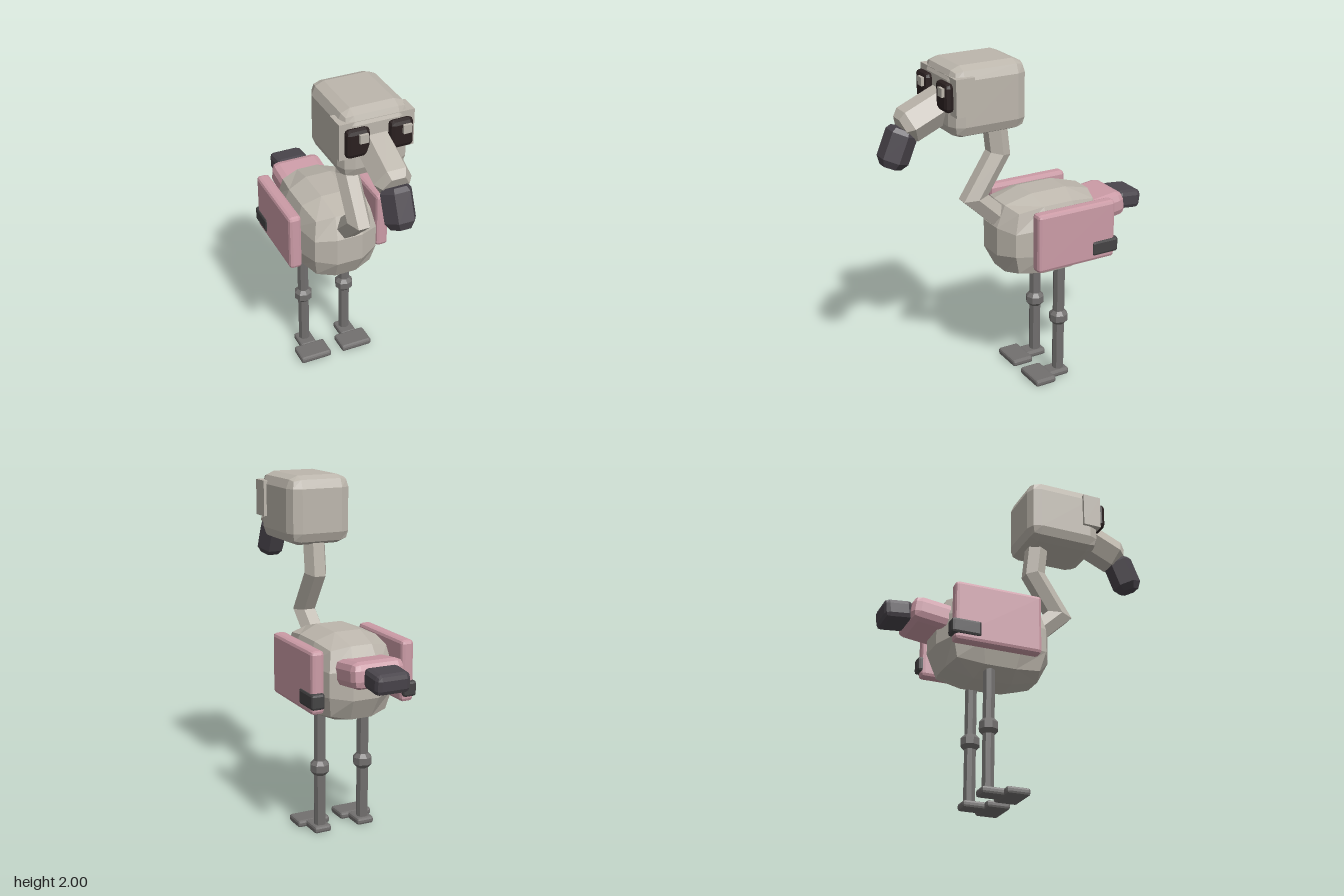
import * as THREE from 'three';
import { RoundedBoxGeometry } from 'three/addons/geometries/RoundedBoxGeometry.js';

const mat = (name, color) => new THREE.MeshStandardMaterial({ name, color, flatShading: true });

export function createModel() {
  const model = new THREE.Group();
  model.name = 'wadingBird';
  const plumage = mat('plumage grey', 0xbcb6ac);
  const pink = mat('dusty pink', 0xcb9ba6);
  const dark = mat('charcoal tip', 0x4a454c);
  const mark = mat('wing mark black', 0x444344);
  const legGrey = mat('leg grey', 0x72706f);
  const eyeBlack = mat('eye black', 0x2a2020);

  const add = (name, geometry, material, x = 0, y = 0, z = 0) => {
    const mesh = new THREE.Mesh(geometry, material);
    mesh.name = name;
    mesh.position.set(x, y, z);
    model.add(mesh);
    return mesh;
  };

  // Box with chamfered edges
  const chamfer = (name, material, [w, h, d], r, [x, y, z]) =>
    add(name, new RoundedBoxGeometry(w, h, d, 1, r), material, x, y, z);

  // Mitred six-sided tube through [y, z, radius] stations in the middle plane
  const hexTube = (name, material, stations) => {
    const pos = [], index = [], n = 6;
    const pts = stations.map(([y, z]) => new THREE.Vector2(y, z));
    const last = pts.length - 1;
    pts.forEach((p, i) => {
      const a = pts[Math.min(i + 1, last)].clone().sub(pts[Math.min(i, last - 1)]).normalize();
      const b = pts[Math.max(i, 1)].clone().sub(pts[Math.max(i - 1, 0)]).normalize();
      const t = a.clone().add(b).normalize();
      const r = stations[i][2], stretch = 1 / t.dot(a);
      for (let j = 0; j < n; j++) {
        const ang = (j / n) * Math.PI * 2, v = r * Math.sin(ang) * stretch;
        pos.push(r * Math.cos(ang), p.x + t.y * v, p.y - t.x * v);
      }
    });
    for (let i = 0; i < last; i++) {
      for (let j = 0; j < n; j++) {
        const a = i * n + j, b = i * n + (j + 1) % n;
        index.push(a, b, b + n, a, b + n, a + n);
      }
    }
    for (let j = 1; j < n - 1; j++) {
      const e = last * n;
      index.push(0, j + 1, j, e, e + j, e + j + 1);
    }
    const g = new THREE.BufferGeometry();
    g.setAttribute('position', new THREE.Float32BufferAttribute(pos, 3));
    g.setIndex(index);
    g.computeVertexNormals();
    return add(name, g, material);
  };

  // Body: a coarse box swollen into a boxy egg
  const bodyGeo = new THREE.BoxGeometry(2, 2, 2, 3, 3, 3);
  const p = bodyGeo.attributes.position, k = 3.3;
  for (let i = 0; i < p.count; i++) {
    const v = [p.getX(i), p.getY(i), p.getZ(i)];
    const len = Math.pow(v.reduce((s, c) => s + Math.pow(Math.abs(c), k), 0), 1 / k);
    p.setXYZ(i, v[0] / len * 0.237, v[1] / len * 0.255, v[2] / len * 0.342);
  }
  bodyGeo.computeVertexNormals();
  add('body', bodyGeo, plumage, 0, 0.932, -0.175);

  // Bent neck
  hexTube('neck', plumage, [
    [1.03, 0.085, 0.068], [1.2, 0.265, 0.068], [1.44, 0.11, 0.068], [1.66, 0.135, 0.068],
  ]);

  // Head with a wider face plate
  chamfer('head', plumage, [0.385, 0.39, 0.455], 0.07, [0, 1.805, 0.245]);
  add('facePlate', new THREE.BoxGeometry(0.42, 0.205, 0.11), plumage, 0, 1.848, 0.41);

  // Eyes and their glints, both shifted to the same side
  for (const s of [-1, 1]) {
    const side = s > 0 ? 'left' : 'right';
    chamfer(side + 'Eye', eyeBlack, [0.135, 0.16, 0.052], 0.025, [s * 0.121, 1.847, 0.487]);
    add(side + 'EyeGlint', new THREE.BoxGeometry(0.048, 0.048, 0.04), plumage,
      s * 0.121 + 0.022, 1.88, 0.508);
  }

  // Drooping beak
  hexTube('beak', plumage, [
    [1.795, 0.40, 0.105], [1.686, 0.65, 0.105], [1.67, 0.688, 0.075],
  ]);
  hexTube('beakTip', dark, [
    [1.668, 0.675, 0.07], [1.645, 0.685, 0.088], [1.505, 0.744, 0.088], [1.468, 0.758, 0.06],
  ]);

  // Wings with dark rear marks
  for (const s of [-1, 1]) {
    const side = s > 0 ? 'left' : 'right';
    chamfer(side + 'Wing', pink, [0.077, 0.35, 0.508], 0.02, [s * 0.274, 0.965, -0.23]);
    chamfer(side + 'WingMark', mark, [0.08, 0.09, 0.172], 0.015, [s * 0.281, 0.867, -0.419]);
  }

  // Tail
  chamfer('tail', pink, [0.315, 0.148, 0.26], 0.045, [0, 1.012, -0.54]).rotation.x = 0.13;
  chamfer('tailTip', dark, [0.205, 0.115, 0.165], 0.03, [0, 1.015, -0.733]).rotation.x = -0.1;

  // Legs
  const knee = [[0, -0.043], [0.035, -0.043], [0.056, -0.02], [0.056, 0.02], [0.035, 0.043], [0, 0.043]]
    .map(([r, y]) => new THREE.Vector2(r, y));
  for (const s of [-1, 1]) {
    const side = s > 0 ? 'left' : 'right', x = s * 0.137;
    add(side + 'Leg', new THREE.CylinderGeometry(0.035, 0.035, 0.73, 8), legGrey, x, 0.395, -0.22);
    add(side + 'Knee', new THREE.LatheGeometry(knee, 8), legGrey, x, 0.388, -0.22);
    chamfer(side + 'Toes', legGrey, [0.2, 0.042, 0.135], 0.014, [x, 0.024, -0.083]);
    chamfer(side + 'Heel', legGrey, [0.105, 0.042, 0.135], 0.014, [x, 0.024, -0.203]);
  }
  return model;
}
